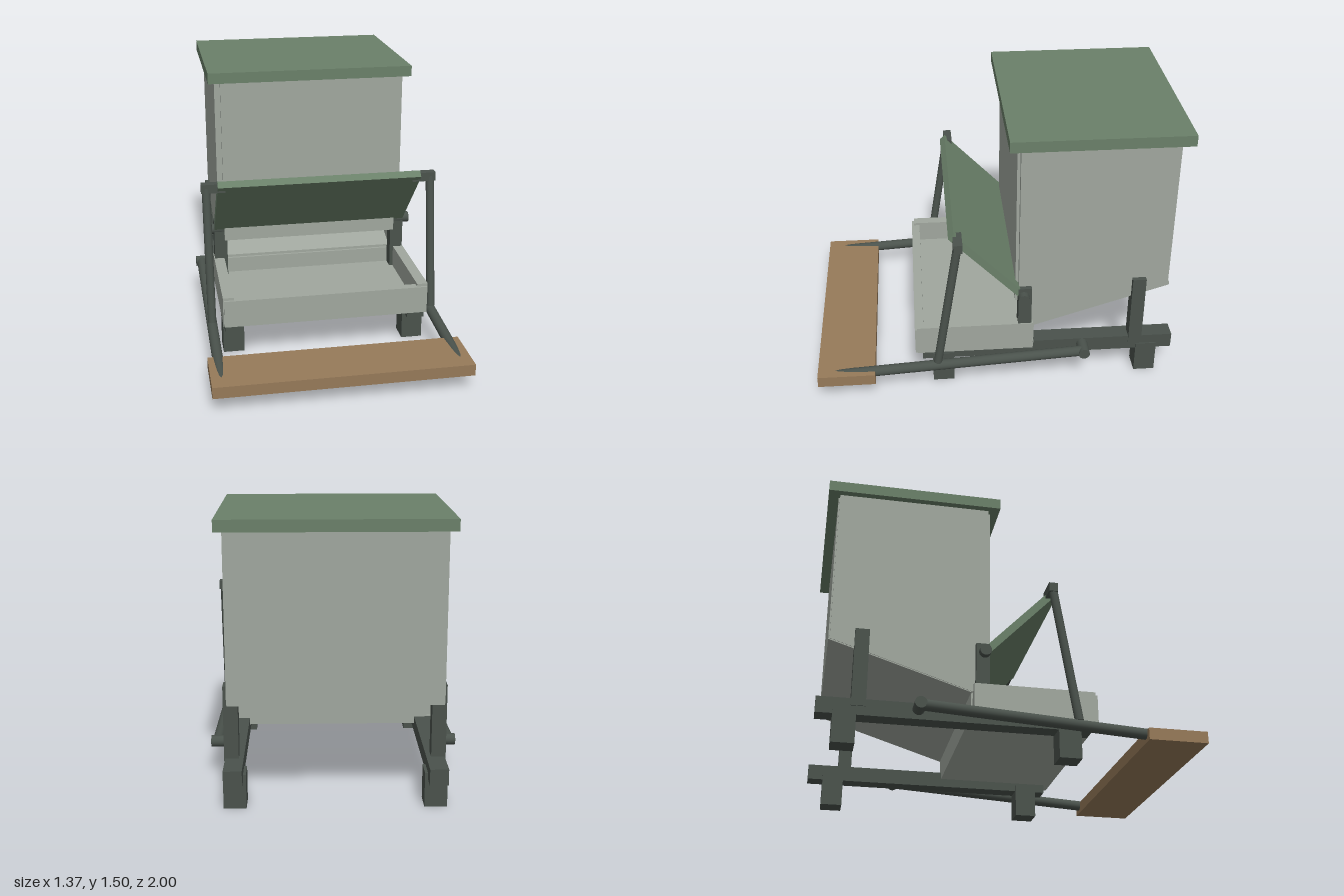
import * as THREE from 'three';

const mat = (color) => new THREE.MeshStandardMaterial({ color });

export function createModel() {
  const root = new THREE.Group();
  const green = mat(0x6a8069), sheet = mat(0xa0a79e), frame = mat(0x4a524c), wood = mat(0x967a59);

  const add = (name, geometry, material) => {
    const mesh = new THREE.Mesh(geometry, material);
    mesh.name = name;
    root.add(mesh);
    return mesh;
  };
  // Box given by its limits on each axis
  const box = (name, m, x0, x1, y0, y1, z0, z1) => {
    const mesh = add(name, new THREE.BoxGeometry(Math.abs(x1 - x0), y1 - y0, z1 - z0), m);
    mesh.position.set((x0 + x1) / 2, (y0 + y1) / 2, (z0 + z1) / 2);
    return mesh;
  };
  // Round bar between two points
  const bar = (name, m, a, b, r) => {
    const p = new THREE.Vector3(...a), q = new THREE.Vector3(...b);
    const d = q.clone().sub(p);
    const mesh = add(name, new THREE.CylinderGeometry(r, r, d.length(), 20), m);
    mesh.position.copy(p).add(q).multiplyScalar(0.5);
    mesh.quaternion.setFromUnitVectors(new THREE.Vector3(0, 1, 0), d.normalize());
    return mesh;
  };
  // Side profile of [z, y] points, extruded from x0 to x1
  const profile = (name, m, points, x0, x1) => {
    const shape = new THREE.Shape(points.map(([z, y]) => new THREE.Vector2(z, y)));
    const g = new THREE.ExtrudeGeometry(shape, { depth: x1 - x0, bevelEnabled: false });
    g.rotateY(-Math.PI / 2).translate(x1, 0, 0);
    return add(name, g, m);
  };

  // Hopper
  box('lid', green, -0.58, 0.58, 1.44, 1.5, -1, -0.055);
  box('hopperFront', sheet, -0.51, 0.51, 0.485, 1.44, -0.118, -0.1);
  box('hopperBack', sheet, -0.51, 0.51, 0.57, 1.44, -0.945, -0.93);
  profile('hopperFloor', sheet, [[-0.2, 0.33], [-0.2, 0.35], [-0.945, 0.585], [-0.945, 0.565]], -0.54, 0.54);

  // Feeding tray
  box('trayFloor', sheet, -0.565, 0.565, 0.2, 0.245, -0.2, 0.445);
  box('trayFront', sheet, -0.57, 0.57, 0.2, 0.355, 0.41, 0.458);
  box('trayBack', sheet, -0.53, 0.53, 0.2, 0.335, -0.205, -0.185);

  // Flap hinged in front of the hopper
  profile('flap', green, [[-0.15, 0.57], [-0.121, 0.541], [0.263, 0.94], [0.234, 0.969]], -0.568, 0.568);

  // Treadle plank
  box('treadle', wood, -0.685, 0.685, 0.087, 0.15, 0.685, 1);

  for (const s of [1, -1]) {
    const side = s > 0 ? 'left' : 'right';
    const sideBox = (name, m, x0, x1, ...rest) => box(side + name, m, s * x0, s * x1, ...rest);
    const [h0, h1] = s > 0 ? [0.51, 0.543] : [-0.543, -0.51];

    profile(side + 'HopperWall', sheet,
      [[-0.116, 1.44], [-0.116, 0.36], [-0.2, 0.335], [-0.938, 0.57], [-0.938, 1.44]], h0, h1);
    sideBox('TrayWall', sheet, 0.515, 0.575, 0.2, 0.37, -0.195, 0.445);

    // Frame: rail, feet and posts
    sideBox('Rail', frame, 0.47, 0.565, 0.152, 0.238, -0.985, 0.42);
    sideBox('FrontFoot', frame, 0.455, 0.572, 0, 0.185, 0.245, 0.363);
    sideBox('RearFoot', frame, 0.455, 0.572, 0, 0.185, -0.9, -0.783);
    sideBox('FrontPost', frame, 0.495, 0.57, 0.2, 0.6, -0.185, -0.112);
    sideBox('RearPost', frame, 0.495, 0.57, 0.2, 0.625, -0.812, -0.738);

    // Linkage: pivots, treadle arm, push rod and flap bracket
    bar(side + 'FlapPivot', frame, [s * 0.5, 0.55, -0.14], [s * 0.607, 0.55, -0.14], 0.031);
    bar(side + 'TreadlePivot', frame, [s * 0.54, 0.205, -0.475], [s * 0.665, 0.205, -0.475], 0.031);
    bar(side + 'TreadleArm', frame, [s * 0.63, 0.205, -0.475], [s * 0.63, 0.12, 0.92], 0.029);
    bar(side + 'PushRod', frame, [s * 0.63, 0.18, 0.337], [s * 0.63, 0.93, 0.218], 0.023);
    sideBox('FlapBracket', frame, 0.525, 0.657, 0.905, 0.955, 0.192, 0.24);
  }
  return root;
}
